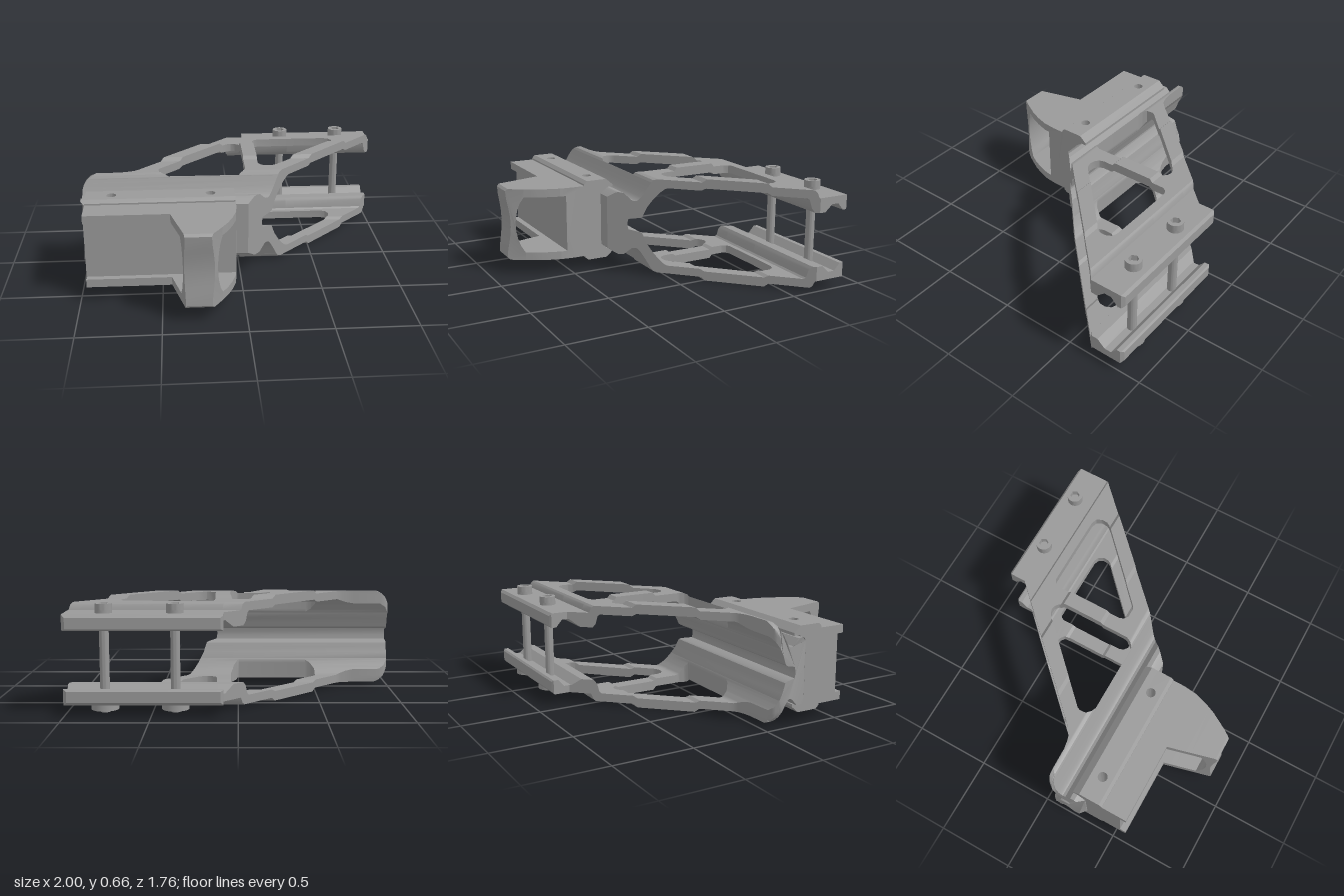
import * as THREE from 'three';
import { toCreasedNormals } from 'three/addons/utils/BufferGeometryUtils.js';

const C = 0.335; // mirror height
const metal = new THREE.MeshStandardMaterial({ color: 0x999999 });
const flip = (y) => 2 * C - y;
const mirror = (pts) => pts.map(([z, y]) => [z, flip(y)]).reverse();

// Piecewise-linear function through [z, value] pairs, clamped at both ends
const curve = (pts) => (z) => {
  if (z <= pts[0][0]) return pts[0][1];
  for (let i = 1; i < pts.length; i++) {
    const [z0, v0] = pts[i - 1], [z1, v1] = pts[i];
    if (z <= z1) return v0 + (v1 - v0) * (z - z0) / (z1 - z0);
  }
  return pts[pts.length - 1][1];
};

function addMesh(parent, name, geo) {
  const mesh = new THREE.Mesh(toCreasedNormals(geo, 0.55), metal);
  mesh.name = name;
  parent.add(mesh);
}

// Side profile of [z, y] points, stretched across x between two end rules
function prism(pts, xl, xr) {
  const shape = new THREE.Shape(pts.map(([z, y]) => new THREE.Vector2(-z, y)));
  const g = new THREE.ExtrudeGeometry(shape, { depth: 1, bevelEnabled: false });
  g.rotateY(Math.PI / 2);
  const p = g.attributes.position;
  for (let i = 0; i < p.count; i++) {
    const y = p.getY(i), z = p.getZ(i);
    p.setX(i, THREE.MathUtils.lerp(xl(z, y), xr(z, y), p.getX(i)));
  }
  return g;
}

// Cross-sections joined along z; each side is split into k steps of height
function loft(zs, xl, xr, yb, yt, k = 1) {
  const n = 2 * (k + 1);
  const rings = zs.map((z) => {
    const ys = Array.from({ length: k + 1 }, (_, i) => THREE.MathUtils.lerp(yb(z), yt(z), i / k));
    return [...ys.map((y) => [xr(z, y), y, z]), ...ys.reverse().map((y) => [xl(z, y), y, z])];
  });
  const out = [];
  const quad = (a, b, c, d) => out.push(...a, ...b, ...c, ...a, ...c, ...d);
  for (let i = 0; i + 1 < rings.length; i++) {
    for (let j = 0; j < n; j++) {
      const m = (j + 1) % n;
      quad(rings[i][j], rings[i][m], rings[i + 1][m], rings[i + 1][j]);
    }
  }
  const f = rings[0], l = rings[rings.length - 1];
  for (let j = 0; j < k; j++) {
    quad(f[j], f[n - 1 - j], f[n - 2 - j], f[j + 1]);
    quad(l[j], l[j + 1], l[n - 2 - j], l[n - 1 - j]);
  }
  const g = new THREE.BufferGeometry();
  g.setAttribute('position', new THREE.Float32BufferAttribute(out, 3));
  return g;
}

// Plan shape (x, -z) raised from y0 to y1
function raise(shape, y0, y1) {
  const g = new THREE.ExtrudeGeometry(shape, { depth: y1 - y0, bevelEnabled: false, curveSegments: 20 });
  return g.rotateX(-Math.PI / 2).translate(0, y0, 0);
}

// Plan edges of the bracket; the front left end is rounded in height
const leftPts = [[-0.88, 0.1], [-0.87, 0.085], [-0.765, 0.085], [-0.01, -0.64], [0.015, -0.67], [0.03, -0.72],
  [0.038, -0.77], [0.04, -0.945], [0.055, -0.98], [0.08, -1], [0.25, -1], [0.29, -0.96]];
const rightPts = [[-0.88, 0.98], [-0.865, 1], [-0.665, 1], [0.335, 0]];
const leftEdge = curve(leftPts), outerRight = curve(rightPts);
const outerLeft = (z, y) => {
  const t = Math.min(1, Math.max(0, (Math.abs(y - C) - 0.2) / 0.112));
  return Math.max(leftEdge(z), -1 + 0.12 * (1 - Math.sqrt(1 - t * t)));
};

// Sides of the two triangular openings
const frontHoleL = [[-0.8, 0.12], [-0.7, 0.12], [-0.495, -0.015], [-0.485, -0.045], [-0.465, -0.07], [-0.02, -0.505],
  [0, -0.513], [0.04, -0.51], [0.065, -0.48], [0.075, -0.45], [0.076, 0]];
const frontHoleR = [[-0.8, 0.12], [-0.7, 0.12], [-0.495, -0.015], [-0.49, 0.01], [-0.47, 0.035], [-0.43, 0.048],
  [0.02, 0.048], [0.055, 0.03], [0.075, 0.005], [0.076, 0]];
const rearHoleL = [[-0.579, 0.4], [-0.578, 0.18], [-0.565, 0.155], [-0.54, 0.14], [-0.09, 0.14], [-0.06, 0.15],
  [-0.04, 0.175], [-0.035, 0.205]];
const rearHoleR = [[-0.579, 0.4], [-0.578, 0.65], [-0.565, 0.685], [-0.53, 0.703], [-0.49, 0.7], [-0.465, 0.685],
  [-0.055, 0.26], [-0.04, 0.235], [-0.035, 0.205]];

// Outer and inner heights of the arms, from rear rail to front hook
const outPts = [[-0.88, 0.58], [-0.865, 0.597], [-0.66, 0.597], [-0.65, 0.63], [-0.638, 0.643], [-0.46, 0.643],
  [-0.44, 0.665], [-0.175, 0.665], [-0.155, 0.643], [0.05, 0.643], [0.068, 0.635], [0.08, 0.615]];
const inPts = [[-0.88, 0.515], [-0.87, 0.505], [-0.84, 0.505], [-0.8, 0.55], [-0.755, 0.55], [-0.705, 0.505],
  [-0.645, 0.505], [-0.63, 0.53], [-0.62, 0.58], [-0.61, 0.59], [-0.46, 0.59], [-0.44, 0.605], [-0.17, 0.605],
  [-0.15, 0.59], [0, 0.59], [0.015, 0.583], [0.04, 0.555], [0.065, 0.517], [0.08, 0.49]];

function buildArms(root) {
  const all = [leftPts, rightPts, frontHoleL, frontHoleR, rearHoleL, rearHoleR, outPts, inPts].flat().map((p) => p[0]);
  const zs = [...new Set(all)].filter((z) => z <= 0.08).sort((a, b) => a - b);
  const yo = curve(outPts), yi = curve(inPts);
  const beams = [
    ['LeftBeam', outerLeft, curve(frontHoleL), 6],
    ['MiddleBeam', curve(frontHoleR), curve(rearHoleL), 1],
    ['RightBeam', curve(rearHoleR), outerRight, 1],
  ];
  for (const [name, xl, xr, k] of beams) {
    addMesh(root, 'upper' + name, loft(zs, xl, xr, yi, yo, k));
    addMesh(root, 'lower' + name, loft(zs, xl, xr, (z) => flip(yo(z)), (z) => flip(yi(z)), k));
  }
}

// Hook-shaped spine joining both arms, with the dovetail in front
function buildSpine(root) {
  const half = [[0.19, 0.345], [0.185, 0.37], [0.13, 0.382], [0.12, 0.39], [0.113, 0.41], [0.1, 0.45], [0.08, 0.49],
    [0.08, 0.615], [0.09, 0.593], [0.105, 0.56], [0.125, 0.52], [0.14, 0.497], [0.152, 0.49], [0.17, 0.495],
    [0.207, 0.538], [0.235, 0.542], [0.25, 0.535], [0.287, 0.505]];
  addMesh(root, 'spine', prism([...half, ...mirror(half)], outerLeft, outerRight));
}

// Clamp block with the curved guard in front
function buildClamp(root) {
  const xl = () => -0.96, xr = curve([[0.48, -0.04], [0.57, -0.05], [0.65, -0.075], [0.72, -0.105], [0.78, -0.14],
    [0.83, -0.17], [0.88, -0.205]]);
  const body = new THREE.Shape([[-0.96, -0.385], [-0.04, -0.385], [-0.04, -0.29], [-0.96, -0.29]]
    .map(([x, y]) => new THREE.Vector2(x, y)));
  for (const x of [-0.8, -0.19]) {
    body.holes.push(new THREE.Path().absarc(x, -0.322, 0.03, 0, Math.PI * 2, true));
  }
  addMesh(root, 'clampBody', raise(body, flip(0.6), 0.6));

  const jaw = [[0.29, 0.505], [0.25, 0.538], [0.235, 0.546], [0.205, 0.543], [0.205, 0.56], [0.25, 0.6], [0.29, 0.6]];
  addMesh(root, 'upperJaw', prism(jaw, xl, xr));
  addMesh(root, 'lowerJaw', prism(mirror(jaw), xl, xr));

  const front = [[0.385, 0.6], [0.405, 0.58], [0.405, 0.57], [0.48, 0.57], [0.57, 0.57], [0.57, 0.518], [0.53, 0.518]];
  addMesh(root, 'clampFront', prism([...front, ...mirror(front)], xl, xr));

  const gl = curve([[0.57, -0.44], [0.88, -0.36]]);
  const zs = [0.57, 0.61, 0.65, 0.685, 0.72, 0.75, 0.78];
  addMesh(root, 'guardTop', loft(zs, gl, xr, () => 0.518, () => 0.57));
  addMesh(root, 'guardBottom', loft(zs, gl, xr, () => flip(0.57), () => flip(0.518)));
  const wall = [[0.83, 0.345], [0.828, 0.38], [0.82, 0.425], [0.805, 0.475], [0.78, 0.518], [0.78, 0.57], [0.83, 0.57],
    [0.866, 0.57], [0.88, 0.555], [0.876, 0.505], [0.867, 0.45], [0.859, 0.39], [0.857, 0.345]];
  addMesh(root, 'guardFace', prism([...wall, ...mirror(wall)], gl, xr));
}

// Cross bolts with hex-socket heads and round nuts
function buildBolts(root) {
  const disc = (r, y0, y1) => new THREE.CylinderGeometry(r, r, y1 - y0, 28).translate(0, (y0 + y1) / 2, 0);
  for (const x of [0.363, 0.772]) {
    const bolt = new THREE.Group();
    bolt.name = 'crossBolt';
    bolt.position.set(x, 0, -0.78);
    addMesh(bolt, 'boltShank', disc(0.028, 0.018, 0.6));
    addMesh(bolt, 'boltHeadBase', disc(0.05, 0.59, 0.615));
    const ring = new THREE.Shape().absarc(0, 0, 0.05, 0, Math.PI * 2);
    const hex = Array.from({ length: 6 }, (_, i) =>
      new THREE.Vector2(0.031 * Math.cos(-i * Math.PI / 3), 0.031 * Math.sin(-i * Math.PI / 3)));
    ring.holes.push(new THREE.Path(hex));
    addMesh(bolt, 'boltHead', raise(ring, 0.615, 0.652));
    addMesh(bolt, 'nut', disc(0.08, 0.035, 0.08));
    root.add(bolt);
  }
}

export function createModel() {
  const root = new THREE.Group();
  root.name = 'sideMount';
  // Assembly set so the lower pads rest on the ground
  const assembly = new THREE.Group();
  assembly.name = 'assembly';
  assembly.position.y = -0.005;
  buildArms(assembly);
  buildSpine(assembly);
  buildClamp(assembly);
  buildBolts(assembly);
  root.add(assembly);
  return root;
}
